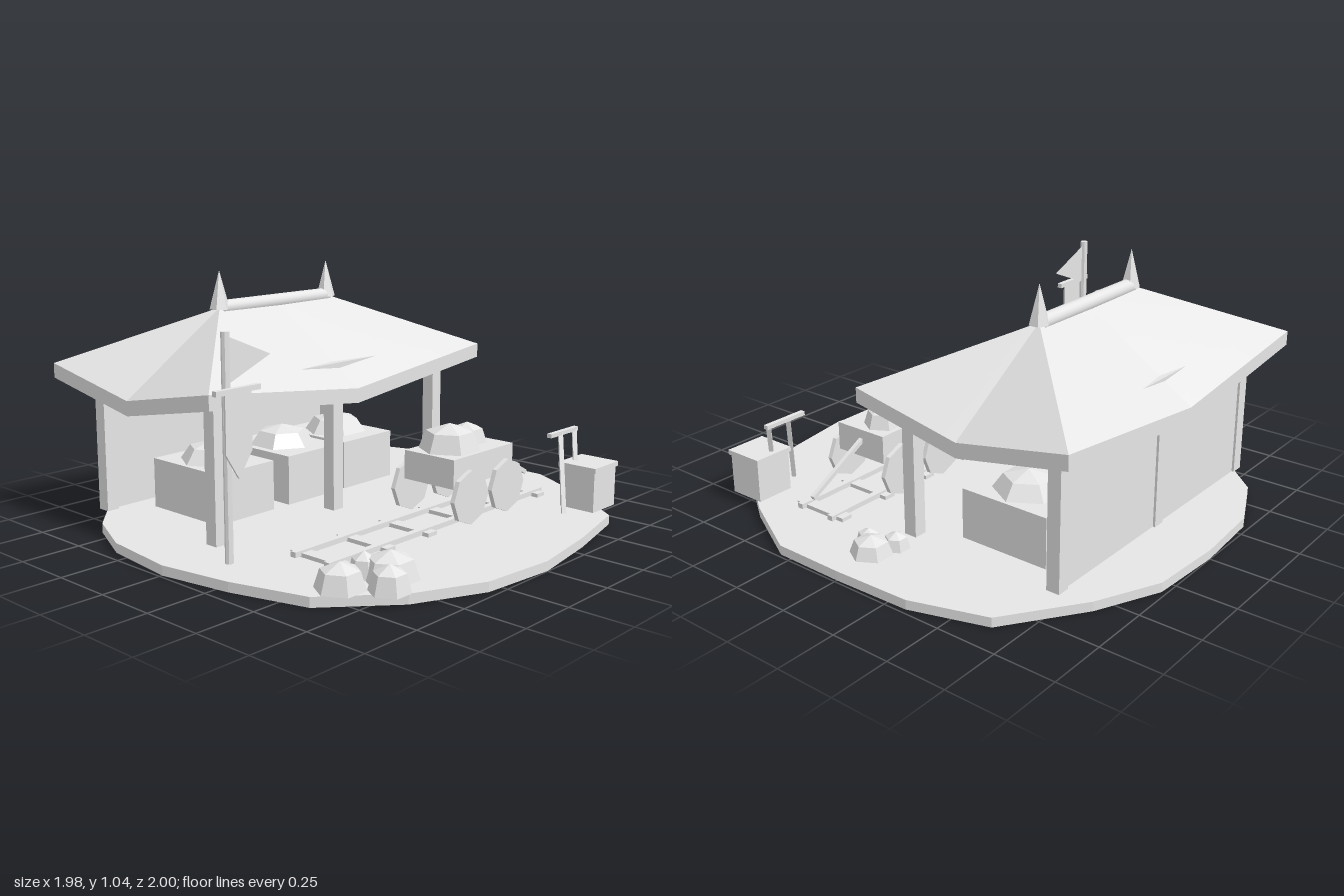
import * as THREE from 'three';

export function createModel() {
  const model = new THREE.Group();
  const stone = new THREE.MeshStandardMaterial({ color: 0xe5e5e5, side: THREE.DoubleSide });
  stone.name = 'pale grey';

  const add = (name, geo, x = 0, y = 0, z = 0, parent = model) => {
    const m = new THREE.Mesh(geo, stone);
    m.name = name;
    m.position.set(x, y, z);
    parent.add(m);
    return m;
  };
  // box from its min and max on each axis
  const box = (name, x0, x1, y0, y1, z0, z1) =>
    add(name, new THREE.BoxGeometry(x1 - x0, y1 - y0, z1 - z0), (x0 + x1) / 2, (y0 + y1) / 2, (z0 + z1) / 2);
  // faceted copy of a geometry
  const flat = (geo) => {
    const g = geo.index ? geo.toNonIndexed() : geo;
    g.computeVertexNormals();
    return g;
  };
  // square rod between two points
  const rod = (name, a, b, t) => {
    const p = new THREE.Vector3(...a), q = new THREE.Vector3(...b);
    const m = add(name, new THREE.BoxGeometry(t, t, p.distanceTo(q)));
    m.position.copy(p).add(q).multiplyScalar(0.5);
    m.lookAt(q);
  };
  // six-sided lump with sloping sides and a low point on top
  const lump = (name, x, y, z, r, h, top = 0.77, turn = Math.PI / 6) => {
    const pts = [[r, 0], [r * top, h * 0.7], [0, h]].map((p) => new THREE.Vector2(...p));
    add(name, flat(new THREE.LatheGeometry(pts, 6)), x, y, z).rotation.y = turn;
  };
  // twisted four-cornered panel, corners anticlockwise from bottom left
  const patch = (...corners) => {
    const [bl, br, tr, tl] = corners.map((c) => new THREE.Vector3(...c));
    const g = new THREE.PlaneGeometry(1, 1, 8, 8);
    const pos = g.attributes.position;
    for (let i = 0; i < pos.count; i++) {
      const u = pos.getX(i) + 0.5, v = pos.getY(i) + 0.5;
      const p = bl.clone().lerp(br, u).lerp(tl.clone().lerp(tr, u), v);
      pos.setXYZ(i, p.x, p.y, p.z);
    }
    g.computeVertexNormals();
    return g;
  };
  const outline = (pts) => new THREE.Shape(pts.map((p) => new THREE.Vector2(...p)));

  // ground slab, points as x, z
  const rim = [[0, 1], [0.32, 0.948], [0.645, 0.87], [0.83, 0.605], [0.987, 0.305], [0.99, 0], [0.98, -0.335],
    [0.882, -0.645], [0.58, -0.86], [0.32, -0.982], [0, -1], [-0.31, -0.978], [-0.57, -0.86], [-0.84, -0.565],
    [-0.95, -0.325], [-0.99, 0.005], [-0.94, 0.305], [-0.85, 0.615], [-0.6, 0.84], [-0.32, 0.97]];
  const slab = new THREE.ExtrudeGeometry(outline(rim.map(([x, z]) => [x, -z])), { depth: 0.039, bevelEnabled: false });
  add('ground', slab.rotateX(-Math.PI / 2), 0, 0.001, 0);

  // shelter posts, back wall and beams
  for (const x of [-0.697, -0.052, 0.592]) {
    for (const z of [-0.031, -0.712]) box('post', x - 0.028, x + 0.028, 0.04, 0.6, z - 0.028, z + 0.028);
  }
  box('backWall', -0.697, 0.592, 0.04, 0.6, -0.73, -0.705);
  for (const z of [-0.715, -0.02]) box('beam', -0.697, 0.592, 0.6, 0.663, z - 0.021, z + 0.021);

  // sagging hipped roof: eave ring runs anticlockwise seen from above
  const [xl, xm, xr, zb, zm, zf] = [-0.84, -0.05, 0.742, -0.854, -0.373, 0.108];
  const ring = [[xl, zf], [xm, zf], [xr, zf], [xr, zm], [xr, zb], [xm, zb], [xl, zb], [xl, zm]];
  const top = ring.map(([x, z], i) => [x, i % 2 ? 0.57 : 0.66, z]);
  const low = ring.map(([x, z], i) => [x, i % 2 ? 0.51 : 0.6, z]);
  const ridge = [-0.36, xm, 0.26, 0.26, 0.26, xm, -0.36, -0.36].map((x) => [x, 0.885, zm]);
  const under = [xm, 0.495, zm];
  const roof = new THREE.Group();
  roof.name = 'roof';
  model.add(roof);
  for (let i = 0; i < 8; i++) {
    const j = (i + 1) % 8;
    add('roofSlope', patch(top[i], top[j], ridge[j], ridge[i]), 0, 0, 0, roof);
    add('roofEdge', patch(low[i], low[j], top[j], top[i]), 0, 0, 0, roof);
    add('roofUnderside', patch(low[j], low[i], under, under), 0, 0, 0, roof);
  }

  // ridge pole and finials
  add('ridgePole', new THREE.CylinderGeometry(0.031, 0.031, 0.62, 16).rotateZ(Math.PI / 2), xm, 0.883, zm);
  for (const x of [-0.36, 0.26]) add('finial', flat(new THREE.ConeGeometry(0.042, 0.157, 6)), x, 0.9575, zm);

  // crates with heaped contents
  [-0.39, 0.008, 0.35].forEach((x, i) => {
    box('crate', x - 0.155, x + 0.155, 0.04, 0.25, -0.597, -0.2);
    lump('crateHeap', x, 0.25, -0.4, 0.142, 0.085, 0.7, i === 1 ? 0 : Math.PI / 6);
  });

  // track
  for (let i = 0; i < 6; i++) {
    const x = -0.558 + i * 0.248;
    box('sleeper', x - 0.026, x + 0.026, 0, 0.056, 0.253, 0.51);
  }
  for (const z of [0.298, 0.468]) box('rail', -0.615, 0.732, 0.044, 0.065, z - 0.013, z + 0.013);

  // cart with eight-sided wheels, load and drawbar
  box('cartBody', 0.062, 0.457, 0.2, 0.32, 0.26, 0.512);
  for (const x of [0.135, 0.38]) {
    for (const z of [0.232, 0.537]) {
      const wheel = flat(new THREE.CylinderGeometry(0.112, 0.112, 0.02, 8).rotateX(Math.PI / 2));
      add('wheel', wheel, x, 0.16, z);
    }
  }
  lump('cartLoad', 0.198, 0.32, 0.382, 0.127, 0.108);
  lump('cartLoad', 0.353, 0.32, 0.353, 0.083, 0.083);
  rod('drawbar', [0.44, 0.28, 0.385], [0.737, 0.118, 0.385], 0.018);

  // rock piles
  [[-0.725, 0.638, 0.095, 0.1], [-0.575, 0.613, 0.058, 0.095], [-0.525, 0.693, 0.108, 0.105], [-0.63, 0.78, 0.078, 0.1],
    [0.812, -0.008, 0.085, 0.075], [0.762, 0.052, 0.052, 0.065], [0.72, -0.05, 0.055, 0.065]]
    .forEach(([x, z, r, h]) => lump('rock', x, 0.04, z, r, h));

  // tool chest and leaning tools
  box('toolChest', 0.624, 0.79, 0.04, 0.215, 0.645, 0.806);
  box('toolChestLid', 0.618, 0.798, 0.21, 0.23, 0.635, 0.813);
  box('pickHead', 0.536, 0.738, 0.347, 0.364, 0.628, 0.649);
  rod('pickHandle', [0.62, 0.355, 0.638], [0.535, 0.04, 0.722], 0.018);
  rod('toolHandle', [0.725, 0.355, 0.638], [0.645, 0.05, 0.715], 0.018);

  // flag pole, pennant and hanging banner
  add('flagPole', flat(new THREE.CylinderGeometry(0.016, 0.016, 0.85, 8)), -0.808, 0.465, 0.165);
  add('pennant', new THREE.ShapeGeometry(outline([[-0.797, 0.7], [-0.59, 0.785], [-0.797, 0.872]])), 0, 0, 0.165);
  box('bannerBar', -0.915, -0.705, 0.68, 0.7, 0.215, 0.236);
  const cloth = outline([[-0.87, 0.685], [-0.87, 0.465], [-0.81, 0.37], [-0.745, 0.465], [-0.745, 0.685]]);
  add('banner', new THREE.ExtrudeGeometry(cloth, { depth: 0.008, bevelEnabled: false }), 0, 0, 0.222);

  return model;
}
